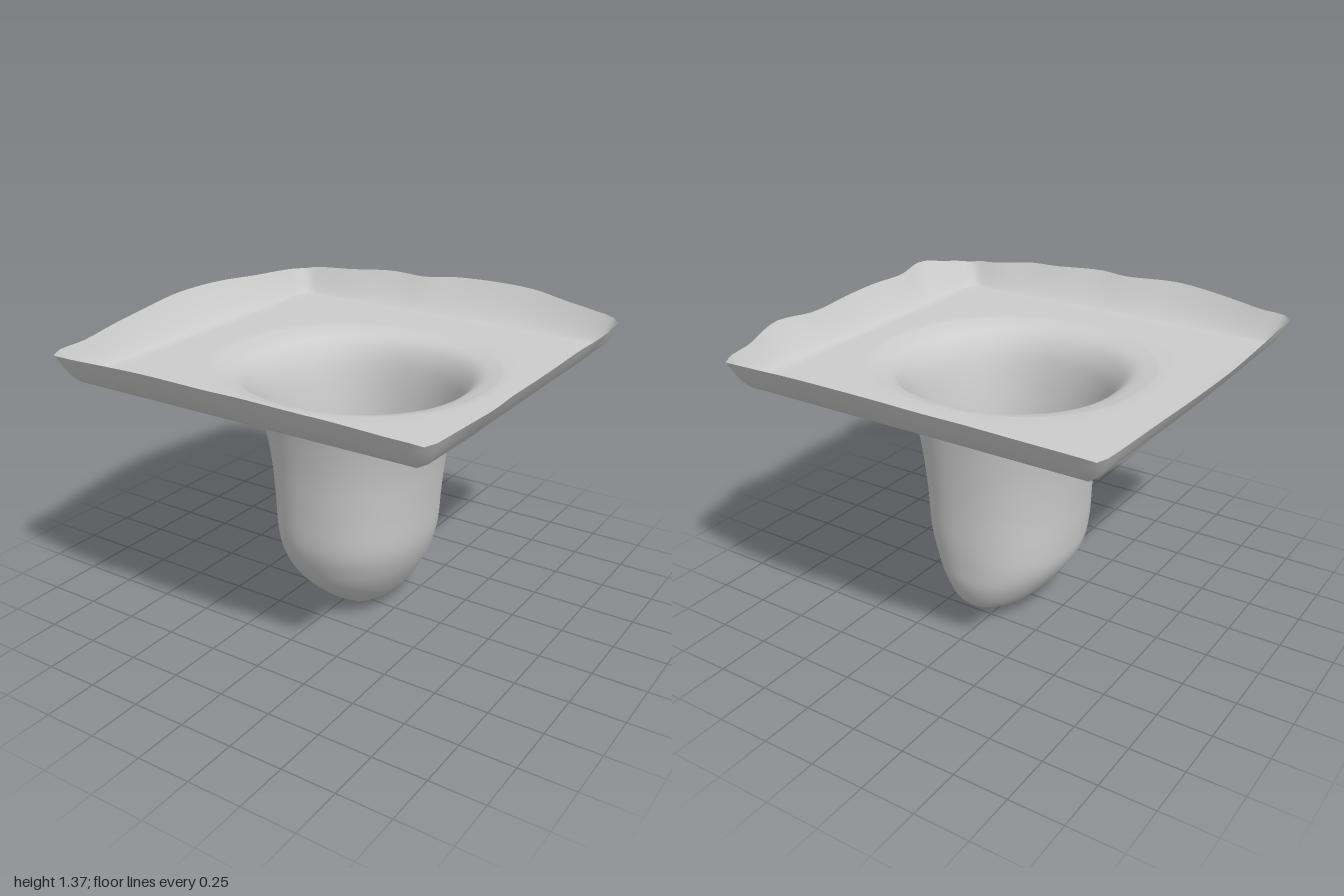
import * as THREE from 'three';

const SEGMENTS = 144;
const SHEET_Y = 1.19;

// Wavy outer edge of the sheet, as [x, z], clockwise from the back left corner
const EDGE = [
  [-0.9, -0.915], [-0.6, -0.955], [-0.38, -0.98], [-0.18, -0.975], [0, -1], [0.4, -1], [0.6, -0.965], [0.75, -0.94], [0.88, -0.91],
  [0.91, -0.86], [0.93, -0.72], [0.98, -0.5], [0.96, -0.27], [0.975, 0], [0.98, 0.2], [0.975, 0.4], [1, 0.6], [0.96, 0.75], [0.925, 0.87],
  [0.89, 0.915], [0.75, 0.93], [0.55, 0.965], [0.4, 0.97], [0.13, 0.99], [0, 0.98], [-0.3, 0.995], [-0.6, 0.96], [-0.75, 0.935], [-0.89, 0.92],
  [-0.92, 0.88], [-0.93, 0.7], [-0.955, 0.5], [-0.98, 0.25], [-1, 0], [-0.99, -0.3], [-0.96, -0.55], [-0.94, -0.75], [-0.92, -0.88],
];

// Pit cross-sections from the bottom up: [y, xMin, xMax, zMin, zMax]
const PIT = [
  [0, 0.055, 0.085, -0.1, -0.01], [0.008, 0.01, 0.125, -0.2, 0.05], [0.04, -0.05, 0.18, -0.28, 0.11],
  [0.1, -0.15, 0.245, -0.345, 0.2], [0.2, -0.24, 0.31, -0.385, 0.3], [0.3, -0.295, 0.36, -0.395, 0.355],
  [0.42, -0.312, 0.395, -0.4, 0.39], [0.6, -0.32, 0.412, -0.4, 0.4], [0.8, -0.34, 0.438, -0.41, 0.412],
  [1, -0.385, 0.485, -0.43, 0.442], [1.1, -0.432, 0.53, -0.457, 0.478], [1.16, -0.495, 0.59, -0.505, 0.535],
  [SHEET_Y, -0.61, 0.69, -0.59, 0.62],
];

// Smooth surface through a list of closed rings, closed at the innermost ring
function loft(rings) {
  const n = rings[0].length;
  const centre = rings[0].reduce((sum, p) => sum.add(p), new THREE.Vector3()).divideScalar(n);
  const points = [...rings.flat(), centre];
  const index = [];
  for (let j = 0; j < n; j++) {
    const k = (j + 1) % n;
    index.push(points.length - 1, k, j);
    for (let i = 0; i < rings.length - 1; i++) {
      const a = i * n + j, b = i * n + k;
      index.push(a, b, a + n, b, b + n, a + n);
    }
  }
  const geometry = new THREE.BufferGeometry().setFromPoints(points);
  geometry.setIndex(index);
  geometry.computeVertexNormals();
  return geometry;
}

export function createModel() {
  const edgeCurve = new THREE.CatmullRomCurve3(EDGE.map(([x, z]) => new THREE.Vector3(x, 0, z)), true);
  const edge = edgeCurve.getSpacedPoints(SEGMENTS).slice(0, SEGMENTS);
  const reach = (p) => Math.max(Math.abs(p.x), Math.abs(p.z));
  const rings = [];

  // Pit: slightly squared ovals following the section extents
  const spline = (pick) => new THREE.CatmullRomCurve3(PIT.map(pick), false, 'catmullrom', 0.5);
  const xCurve = spline(([y, a, b]) => new THREE.Vector3(a, y, b));
  const zCurve = spline(([y, , , a, b]) => new THREE.Vector3(a, y, b));
  const squared = (v) => Math.sign(v) * Math.abs(v) ** (2 / 2.2);
  const steps = (PIT.length - 1) * 5;
  for (let i = 0; i <= steps; i++) {
    const xs = xCurve.getPoint(i / steps), zs = zCurve.getPoint(i / steps);
    rings.push(edge.map((p) => {
      const angle = Math.atan2(p.z, p.x);
      return new THREE.Vector3(
        (xs.x + xs.z) / 2 + (xs.z - xs.x) / 2 * squared(Math.cos(angle)),
        Math.min(xs.y, SHEET_Y),
        (zs.x + zs.z) / 2 + (zs.z - zs.x) / 2 * squared(Math.sin(angle)));
    }));
  }

  // Flat sheet between the mouth of the pit and the foot of the rim
  const mouth = rings[rings.length - 1];
  const foot = edge.map((p) => p.clone().multiplyScalar(0.85 / reach(p)).setY(SHEET_Y));
  for (let i = 1; i <= 6; i++) rings.push(mouth.map((p, j) => p.clone().lerp(foot[j], i / 6)));

  // Upturned rim, higher where the edge bulges outward
  for (let i = 1; i <= 8; i++) {
    const t = i / 8;
    rings.push(foot.map((p, j) => {
      const top = 1.31 + 0.66 * (reach(edge[j]) - 0.92);
      return p.clone().lerp(edge[j], t).setY(SHEET_Y + (top - SHEET_Y) * t ** 1.35);
    }));
  }

  const material = new THREE.MeshStandardMaterial({ color: 0xcccccc, side: THREE.DoubleSide });
  const sheet = new THREE.Mesh(loft(rings), material);
  sheet.name = 'sheetWithPit';
  const group = new THREE.Group();
  group.name = 'pitInSheet';
  group.add(sheet);
  return group;
}
